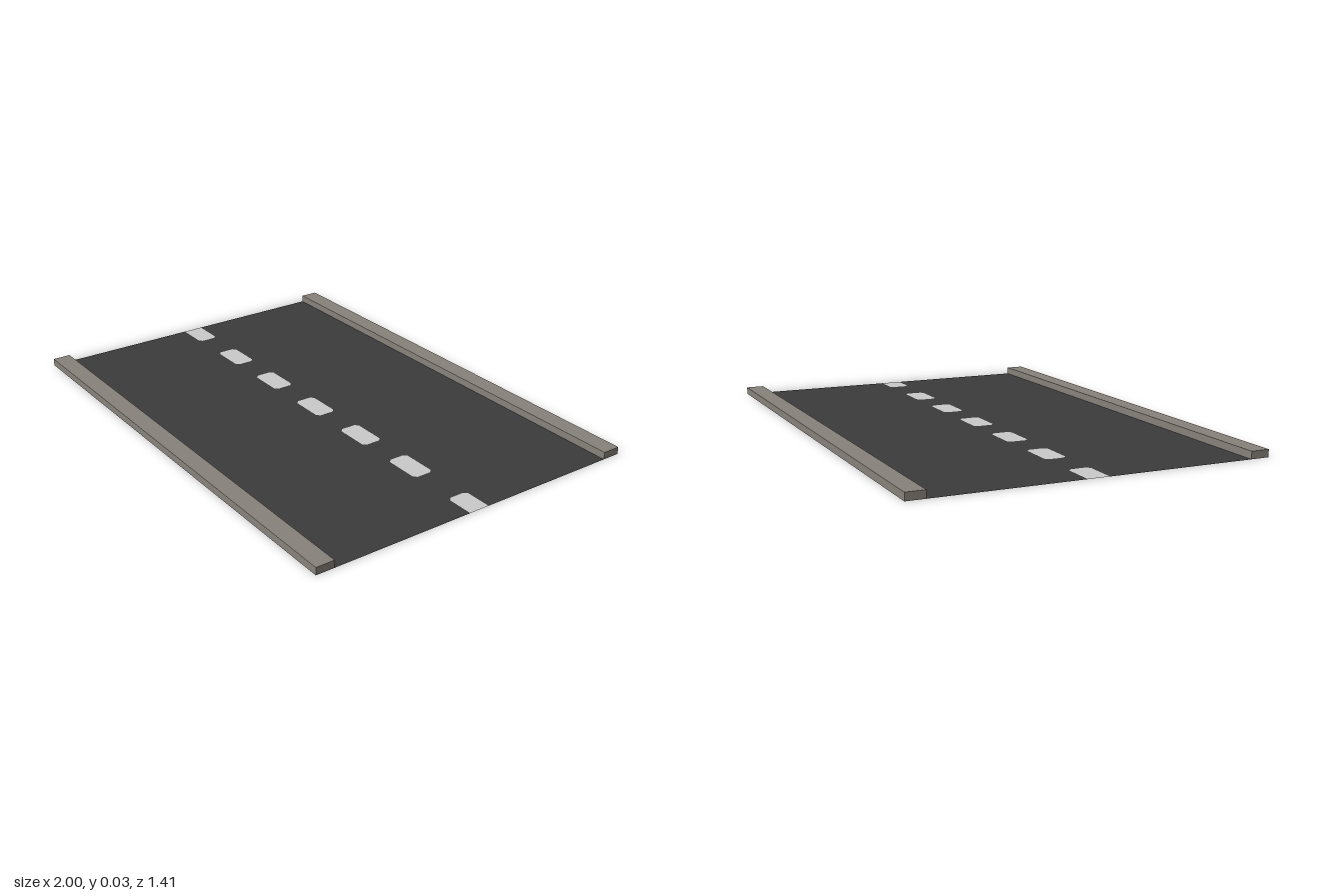
import * as THREE from 'three';

const HALF_X = 1, ROAD_Z = 0.63, CURB_Z = 0.705, CURB_H = 0.03;
const DASH_Z = 0.043, CUT = 0.013;

// Corner-cut dash outline; a side lying on the road's end stays square.
function dashPoints(x0, x1) {
  const l = x0 <= -HALF_X ? 0 : CUT, r = x1 >= HALF_X ? 0 : CUT;
  const raw = [
    [x0, -DASH_Z + l], [x0 + l, -DASH_Z], [x1 - r, -DASH_Z], [x1, -DASH_Z + r],
    [x1, DASH_Z - r], [x1 - r, DASH_Z], [x0 + l, DASH_Z], [x0, DASH_Z - l],
  ];
  return raw
    .filter((p, i) => { const q = raw[(i + 1) % 8]; return p[0] !== q[0] || p[1] !== q[1]; })
    .map(([x, y]) => new THREE.Vector2(x, y));
}

// Flat sheet lying on the ground, facing up
function sheet(shape, material, name) {
  const geometry = new THREE.ShapeGeometry(shape);
  geometry.rotateX(-Math.PI / 2);
  const mesh = new THREE.Mesh(geometry, material);
  mesh.name = name;
  return mesh;
}

export function createModel() {
  const group = new THREE.Group();
  group.name = 'roadSection';
  const make = (name, color) => {
    const m = new THREE.MeshStandardMaterial({ color, side: THREE.DoubleSide });
    m.name = name;
    return m;
  };
  const asphalt = make('asphalt', 0x3b3b3b);
  const paint = make('lanePaint', 0xcacaca);
  const concrete = make('concrete', 0x88827b);

  // Lane dashes: five whole ones and a clipped one at each end
  const spans = [];
  for (let i = -2; i <= 2; i++) spans.push([i * 0.308 - 0.08, i * 0.308 + 0.08]);
  const leftEnd = -0.857, rightEnd = 0.88;

  // Road surface, with the dashes set into it
  const road = new THREE.Shape();
  const outline = [
    [-HALF_X, -ROAD_Z], [HALF_X, -ROAD_Z],
    [HALF_X, -DASH_Z], [rightEnd + CUT, -DASH_Z], [rightEnd, -DASH_Z + CUT],
    [rightEnd, DASH_Z - CUT], [rightEnd + CUT, DASH_Z], [HALF_X, DASH_Z],
    [HALF_X, ROAD_Z], [-HALF_X, ROAD_Z],
    [-HALF_X, DASH_Z], [leftEnd - CUT, DASH_Z], [leftEnd, DASH_Z - CUT],
    [leftEnd, -DASH_Z + CUT], [leftEnd - CUT, -DASH_Z], [-HALF_X, -DASH_Z],
  ];
  road.setFromPoints(outline.map(([x, y]) => new THREE.Vector2(x, y)));
  for (const [a, b] of spans) road.holes.push(new THREE.Path(dashPoints(a, b)));
  group.add(sheet(road, asphalt, 'roadSurface'));

  for (const [a, b] of [[-HALF_X, leftEnd], ...spans, [rightEnd, HALF_X]]) {
    group.add(sheet(new THREE.Shape(dashPoints(a, b)), paint, 'laneDash'));
  }

  // Curbs: hollow boxes, open underneath
  for (const side of [1, -1]) {
    const box = new THREE.BoxGeometry(2 * HALF_X, CURB_H, CURB_Z - ROAD_Z);
    const index = Array.from(box.index.array);
    index.splice(18, 6); // drop the bottom face
    box.setIndex(index);
    box.clearGroups();
    const curb = new THREE.Mesh(box, concrete);
    curb.name = side > 0 ? 'frontCurb' : 'backCurb';
    curb.position.set(0, CURB_H / 2, side * (CURB_Z + ROAD_Z) / 2);
    group.add(curb);
  }
  return group;
}
